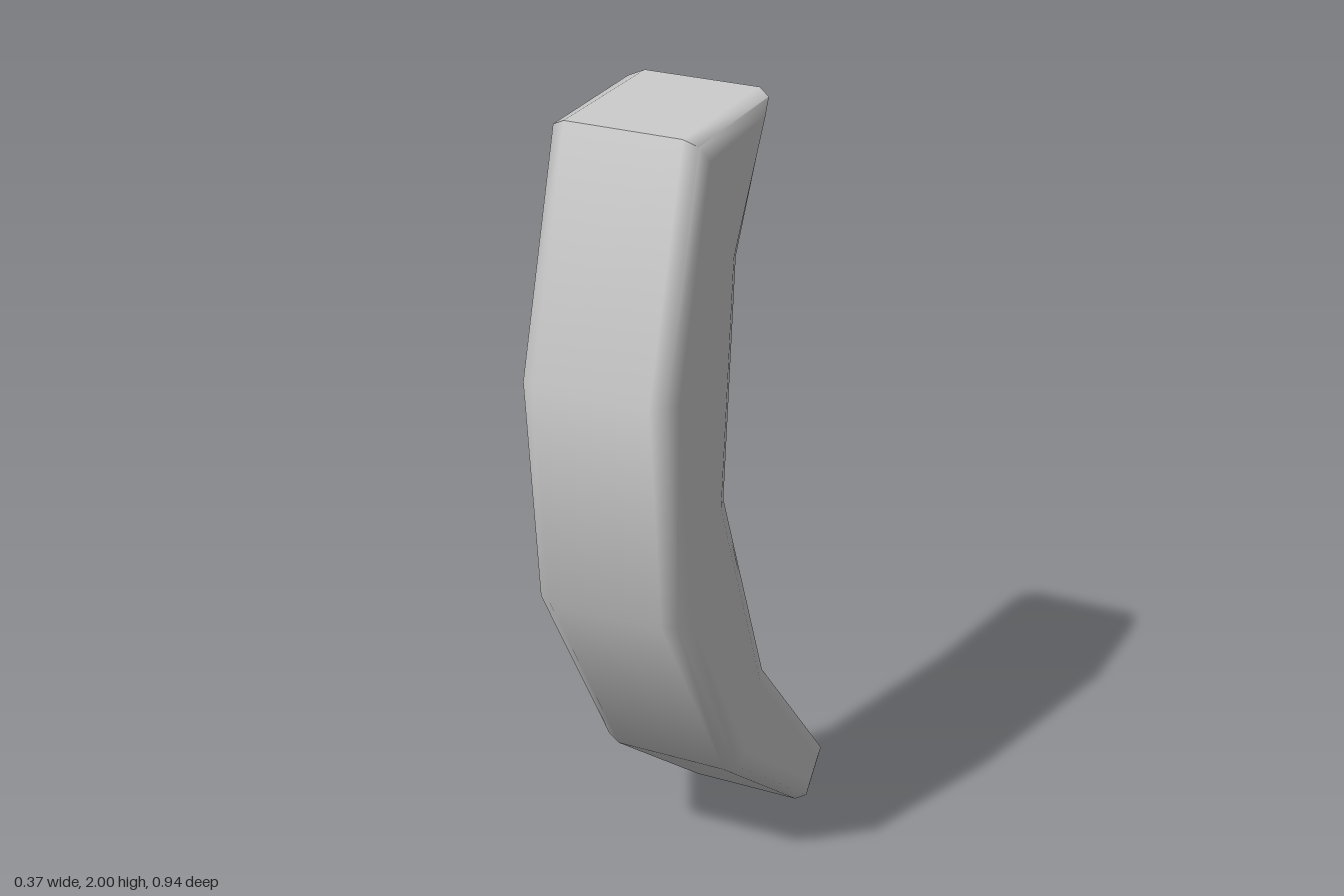
import * as THREE from 'three';
import { toCreasedNormals } from 'three/addons/utils/BufferGeometryUtils.js';

const HALF_FLAT = 0.14;   // half width before the bevel starts
const BEVEL_DEPTH = 0.045; // bevel across the width
const BEVEL_INSET = 0.055; // bevel into the side faces

// Side outline as [z, y]: down the front edge, then up the back edge
const OUTLINE = [
  [0.305, 2], [0.47, 1.45], [0.415, 0.89], [0.085, 0.34], [-0.36, 0],
  [-0.47, 0.115], [-0.08, 0.555], [0.145, 1.11], [0.09, 1.67], [-0.08, 2],
];

function curvedBarGeometry() {
  const shape = new THREE.Shape(OUTLINE.map(([z, y]) => new THREE.Vector2(-z, y)));
  const extruded = new THREE.ExtrudeGeometry(shape, {
    depth: 2 * HALF_FLAT,
    bevelEnabled: true,
    bevelThickness: BEVEL_DEPTH,
    bevelSize: BEVEL_INSET,
    bevelOffset: -BEVEL_INSET,
    bevelSegments: 2,
  });
  extruded.translate(0, 0, -HALF_FLAT);
  extruded.rotateY(Math.PI / 2);

  // Smooth along the curve and round the bevels, sharp at both ends
  const geometry = toCreasedNormals(extruded, Math.PI / 3);
  const position = geometry.attributes.position;
  const normal = geometry.attributes.normal;
  const n = new THREE.Vector3();
  for (let i = 0; i < position.count; i++) {
    const x = position.getX(i);
    n.fromBufferAttribute(normal, i);
    if (Math.abs(x) > HALF_FLAT + BEVEL_DEPTH - 0.001) n.set(Math.sign(x), 0, 0); // flat sides
    else if (Math.abs(x) < HALF_FLAT + 0.001) n.setX(0).normalize(); // front, back and ends
    normal.setXYZ(i, n.x, n.y, n.z);
  }
  return geometry;
}

export function createModel() {
  const model = new THREE.Group();
  model.name = 'curvedBar';
  const grey = new THREE.MeshStandardMaterial({ color: 0xcccccc });
  grey.name = 'light grey';
  const bar = new THREE.Mesh(curvedBarGeometry(), grey);
  bar.name = 'bar';
  model.add(bar);
  return model;
}
